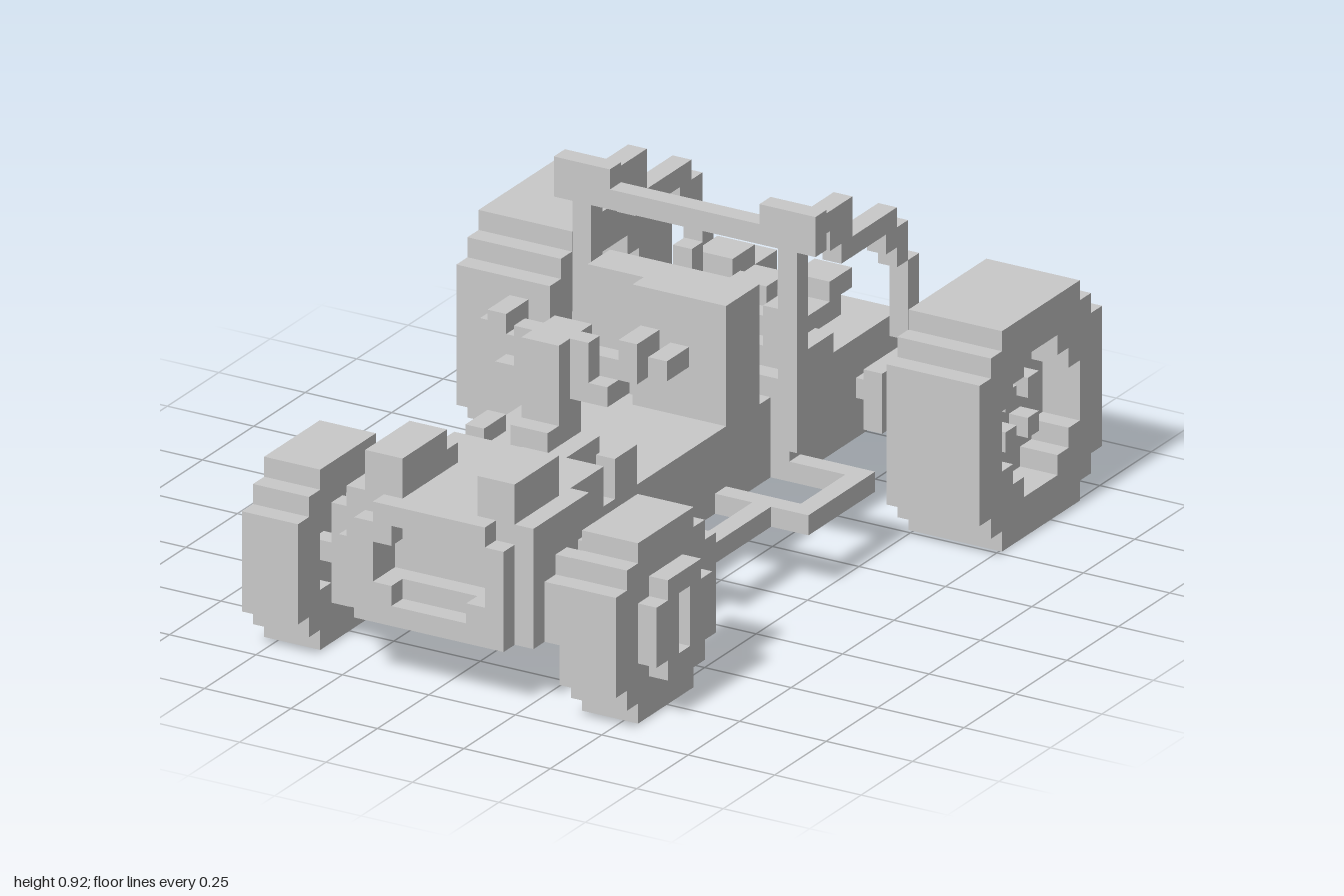
import * as THREE from 'three';

const V = 2 / 37; // edge of one grid cell

export function createModel() {
  const model = new THREE.Group();
  const grey = new THREE.MeshStandardMaterial({ color: 0xc9c9c9 });
  grey.name = 'light grey';

  // Box from cell bounds: x from the centre, y from the ground, z from the rear end
  function box(name, x0, x1, y0, y1, z0, z1) {
    const g = new THREE.BoxGeometry((x1 - x0) * V, (y1 - y0) * V, (z1 - z0) * V);
    const m = new THREE.Mesh(g, grey);
    m.name = name;
    m.position.set((x0 + x1) / 2 * V, (y0 + y1) / 2 * V, ((z0 + z1) / 2 - 18.5) * V);
    model.add(m);
  }
  function pair(name, x0, x1, ...rest) {
    box(name, x0, x1, ...rest);
    box(name, -x1, -x0, ...rest);
  }

  // Stepped round outline from row widths, bottom to top
  function stepped(rows) {
    const right = [], left = [], h = rows.length / 2;
    rows.forEach((w, i) => {
      right.push([w / 2, i - h], [w / 2, i + 1 - h]);
      left.unshift([-w / 2, i + 1 - h], [-w / 2, i - h]);
    });
    return [...right, ...left].map(([x, y]) => new THREE.Vector2(x * V, y * V));
  }
  function slab(name, rows, holes, x0, x1, cy, cz) {
    const shape = new THREE.Shape(stepped(rows));
    holes.forEach(r => shape.holes.push(new THREE.Path(stepped(r))));
    const g = new THREE.ExtrudeGeometry(shape, { depth: (x1 - x0) * V, bevelEnabled: false });
    g.rotateY(Math.PI / 2);
    const m = new THREE.Mesh(g, grey);
    m.name = name;
    m.position.set(x0 * V, cy * V, (cz - 18.5) * V);
    model.add(m);
  }
  function slabPair(name, rows, holes, x0, x1, cy, cz) {
    slab(name, rows, holes, x0, x1, cy, cz);
    slab(name, rows, holes, -x1, -x0, cy, cz);
  }

  // Rear wheels: tyre, recessed disc and lugs
  const rim = [3, 5, 7, 7, 7, 5, 3];
  slabPair('rearTyre', [7, 9, 11, 11, 11, 11, 11, 11, 11, 9, 7], [rim], 9, 14, 5.5, 5.5);
  slabPair('rearRim', rim, [], 11, 12, 5.5, 5.5);
  for (const y of [4, 6]) for (const z of [4, 6]) pair('wheelLug', 12, 13, y, y + 1, z, z + 1);

  // Front wheels: tyre hollow on the inside, raised slotted hub outside
  const hub = [3, 5, 5, 5, 3];
  slabPair('frontTyre', [5, 7, 9, 9, 9, 9, 9, 7, 5], [hub], 7, 10, 4.5, 32.5);
  slabPair('frontRim', hub, [], 8, 10, 4.5, 32.5);
  slabPair('frontHub', hub, [[1, 1, 1]], 10, 11, 4.5, 32.5);

  // Axles and suspension arms
  for (const z of [31, 33]) {
    pair('frontArm', 4, 8, 4, 5, z, z + 1);
    pair('frontArm', 4, 7, 6, 7, z, z + 1);
    pair('frontUpright', 6, 7, 2, 7, z, z + 1);
  }
  pair('frontMount', 5, 6, 3, 6, 30, 35);
  for (const z of [4, 6]) pair('rearArm', 5, 11, 5, 6, z, z + 1);
  pair('rearArmMount', 6, 7, 4, 7, 4, 8);
  pair('rearCollar', 8, 9, 4, 7, 3, 5);
  pair('rearCollar', 8, 9, 4, 7, 6, 8);
  box('differential', -2, 2, 2, 3, 5, 8);

  // Chassis: floor body with a ladder frame beneath
  box('floorBody', -4, 4, 4, 7, 13, 29);
  pair('chassisRail', 3, 4, 3, 4, 3, 37);
  for (const z of [8, 13, 17, 22, 26, 30, 33, 36]) box('chassisCrossbar', -3, 3, 3, 4, z, z + 1);

  // Nose with a stepped, recessed grille
  box('noseBody', -4, 4, 4, 9, 28, 35);
  pair('noseFrame', 3, 4, 4, 8, 35, 37);
  pair('noseFrameCorner', 2, 3, 4, 5, 35, 37);
  pair('noseFrameCorner', 2, 3, 7, 8, 35, 37);
  box('noseFrameTop', -3, 3, 8, 9, 35, 37);
  pair('noseFrameTopEnd', 3, 4, 8, 9, 35, 36);
  box('grilleStep', -2, 2, 4, 5, 35, 36);
  box('grilleStep', -2, 2, 7, 8, 35, 36);
  pair('noseSidePlate', 4, 5, 3, 9, 31, 36);
  pair('hoodBlock', 2, 4, 9, 11, 32, 36);
  pair('hoodStep', 2, 3, 9, 10, 31, 32);

  // Steering column and handlebar
  box('steeringColumn', -2, 2, 7, 9, 25, 28);
  box('steeringColumn', -1, 1, 9, 10, 25, 28);
  box('steeringColumn', -1, 1, 10, 12, 25, 27);
  box('steeringHead', -1, 1, 12, 14, 24, 27);
  pair('steeringEar', 1, 2, 12, 14, 25, 26);
  box('steeringHead', -1, 1, 11, 12, 23, 26);
  pair('handlebar', 1, 4, 12, 13, 24, 25);
  pair('handlebarKnob', 3, 4, 12, 14, 23, 25);
  pair('handlebarGrip', 4, 5, 12, 13, 22, 24);
  pair('handlebarBrace', 1, 3, 11, 12, 24, 26);
  pair('dashPost', 3, 4, 7, 9, 25, 27);

  // Seat
  box('seatBack', -4, 4, 7, 13, 14, 16);
  box('seatBack', -1, 4, 7, 13, 16, 17);

  // Side bars: three stepped loops
  pair('sideBarRear', 8, 9, 3, 4, 12, 18);
  pair('sideBarRear', 4, 8, 3, 4, 17, 18);
  pair('sideBarRear', 4, 8, 3, 4, 12, 13);
  pair('sideBarMiddle', 6, 7, 3, 4, 18, 23);
  pair('sideBarMiddle', 4, 6, 3, 4, 22, 23);
  pair('sideBarFront', 5, 6, 3, 4, 23, 27);
  pair('sideBarFront', 4, 5, 3, 4, 26, 27);

  // Rear body and engine
  box('rearBody', -5, 5, 4, 8, 3, 13);
  pair('rearSkirt', 4, 5, 3, 4, 3, 13);
  box('rearSkirt', -4, 4, 3, 4, 3, 4);
  box('engineBlock', -3, 3, 8, 9, 5, 12);
  box('engineTop', 0, 3, 9, 10, 8, 11);
  box('enginePart', 0, 2, 9, 11, 9, 10);
  box('enginePart', 3, 4, 8, 11, 10, 12);
  pair('engineHead', 1, 3, 9, 10, 4, 6);
  box('enginePart', -3, -1, 9, 11, 6, 8);
  box('enginePart', -1, 1, 9, 10, 6, 7);
  box('enginePart', -3, -2, 9, 12, 9, 10);
  pair('engineSide', 4, 5, 8, 9, 9, 12);

  // Rear hitch ring and pipes
  box('hitchStem', -1, 1, 4, 6, 2, 3);
  pair('hitchRing', 1, 2, 3, 7, 1, 2);
  box('hitchRing', -1, 1, 3, 4, 1, 2);
  box('hitchRing', -1, 1, 6, 7, 1, 2);
  pair('exhaustPipe', 3, 5, 3, 5, 2, 3);

  // Roll cage: posts, top bar and tubes stepping down to the rear
  pair('cagePost', 5, 6, 5, 15, 13, 14);
  pair('cageHead', 4, 7, 15, 17, 13, 14);
  box('cageTopBar', -4, 4, 15, 16, 13, 14);
  const tube = [[15, 16, 9, 13], [14, 15, 9, 11], [13, 14, 5, 10], [12, 13, 4, 6], [11, 12, 4, 5], [7, 11, 3, 4]];
  for (const t of tube) pair('cageTube', 5, 6, ...t);

  return model;
}
